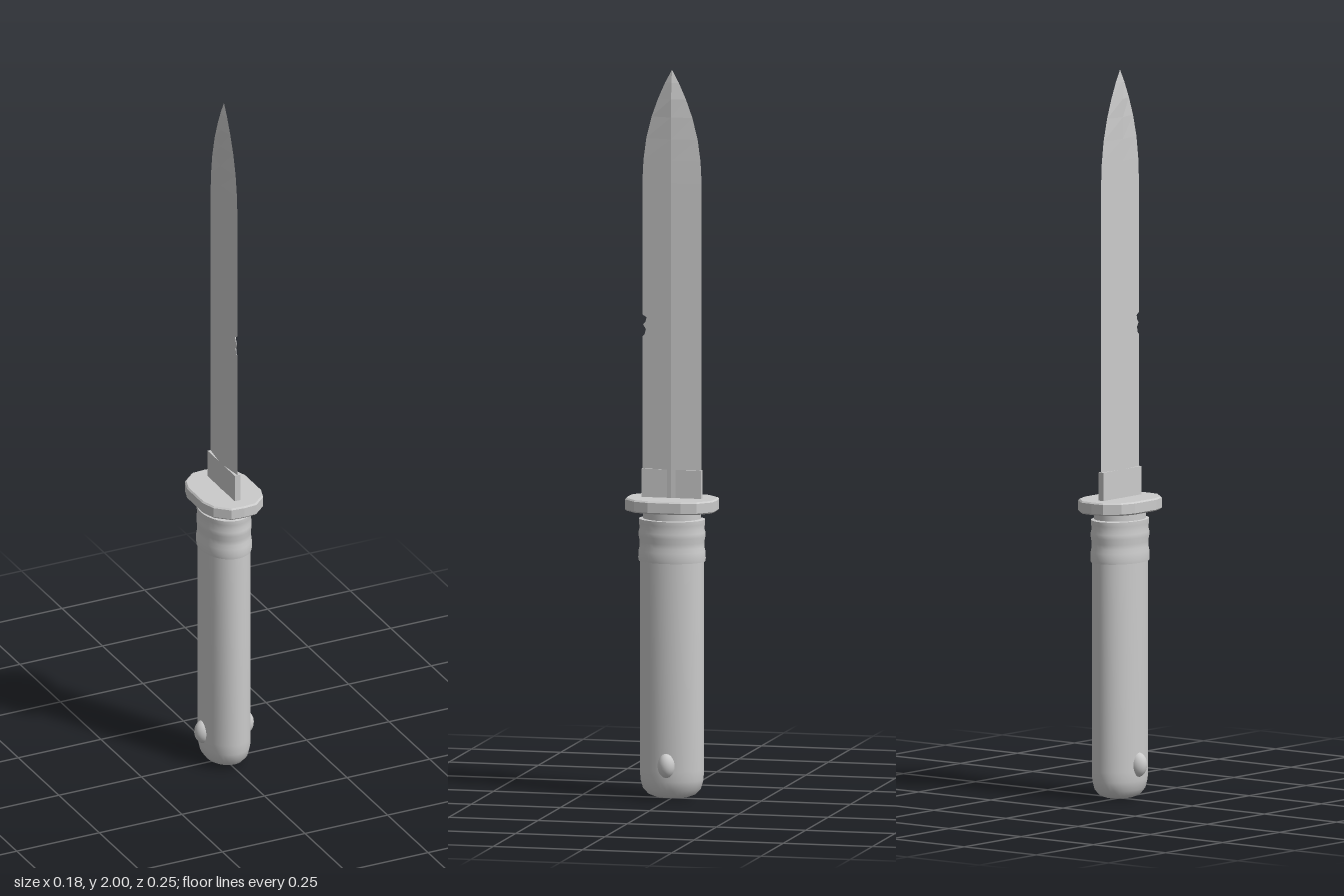
import * as THREE from 'three';
import { toCreasedNormals } from 'three/addons/utils/BufferGeometryUtils.js';

const steel = new THREE.MeshStandardMaterial({ color: 0xcccccc });

function add(group, name, geometry) {
  const mesh = new THREE.Mesh(geometry, steel);
  mesh.name = name;
  group.add(mesh);
  return mesh;
}

// Oval turned part: profile radii run along z, narrowed in x
function oval(profile, narrow = 0.77) {
  const points = profile.map(([r, y]) => new THREE.Vector2(r, y));
  const geometry = new THREE.LatheGeometry(points, 32).scale(narrow, 1, 1);
  return toCreasedNormals(geometry, 0.6);
}

// Diamond-section blade; stations are [y, front edge z, back edge z, ridge x]
function bladeGeometry(stations) {
  const rings = stations.map(([y, front, back, ridge]) => {
    const thick = back > 0 ? ridge * Math.max(0, 1 - front / back) : 0;
    return [
      [ridge, y, 0], [0, y, -back], [-ridge, y, 0],
      [-thick, y, front], [thick, y, front],
    ];
  });
  const positions = [];
  const tri = (a, b, c) => positions.push(...a, ...b, ...c);
  for (let i = 0; i < rings.length - 1; i++) {
    const lower = rings[i], upper = rings[i + 1];
    for (let j = 0; j < 5; j++) {
      const k = (j + 1) % 5;
      tri(lower[j], lower[k], upper[k]);
      tri(lower[j], upper[k], upper[j]);
    }
  }
  const geometry = new THREE.BufferGeometry();
  geometry.setAttribute('position', new THREE.Float32BufferAttribute(positions, 3));
  geometry.computeVertexNormals();
  return geometry;
}

export function createModel() {
  const knife = new THREE.Group();
  knife.name = 'knife';

  // Blade with two small nicks in the front edge
  const w = 0.083, t = 0.01;
  add(knife, 'blade', bladeGeometry([
    [0.81, w, w, t], [1.265, w, w, t],
    [1.27, 0.077, w, t], [1.285, 0.073, w, t], [1.298, 0.081, w, t],
    [1.305, 0.074, w, t], [1.318, 0.071, w, t], [1.325, w, w, t],
    [1.69, w, w, t], [1.75, 0.08, 0.08, t], [1.81, 0.072, 0.072, t],
    [1.87, 0.057, 0.057, t], [1.92, 0.039, 0.039, t],
    [1.965, 0.019, 0.019, 0.006], [2, 0, 0, 0],
  ]));

  // Rectangular sleeve around the blade root
  const sleeve = add(knife, 'bladeSleeve', new THREE.BoxGeometry(0.017, 0.085, 0.168));
  sleeve.position.y = 0.86;

  // Faceted oval guard with a slim bevel
  const quarter = [[0.085, 0.046], [0.072, 0.086], [0.036, 0.119]];
  const outline = [
    ...quarter, [0, 0.122],
    ...[...quarter].reverse().map(([x, z]) => [-x, z]),
    ...quarter.map(([x, z]) => [-x, -z]), [0, -0.122],
    ...[...quarter].reverse().map(([x, z]) => [x, -z]),
  ];
  const guardShape = new THREE.Shape(outline.map(([x, z]) => new THREE.Vector2(x, z)));
  const guard = new THREE.ExtrudeGeometry(guardShape, {
    depth: 0.027, bevelThickness: 0.004, bevelSize: 0.004, bevelSegments: 1,
  });
  guard.rotateX(-Math.PI / 2).translate(0, 0.794, 0);
  add(knife, 'guard', guard);

  // Neck between guard and ferrule
  add(knife, 'neck', oval([[0.08, 0.76], [0.08, 0.795]], 0.81));

  // Ferrule with a shallow waist
  add(knife, 'ferrule', oval([
    [0.084, 0.652], [0.092, 0.652], [0.093, 0.66], [0.092, 0.68],
    [0.089, 0.692], [0.089, 0.705], [0.092, 0.72], [0.092, 0.732],
    [0.089, 0.742], [0.091, 0.755], [0.091, 0.767], [0.076, 0.77],
  ]));

  // Grip with rounded butt
  add(knife, 'grip', oval([
    [0, 0], [0.045, 0.004], [0.066, 0.012], [0.08, 0.027], [0.087, 0.052],
    [0.088, 0.08], [0.088, 0.655], [0.08, 0.66],
  ]));

  // Domed release buttons on both sides
  for (const side of [1, -1]) {
    const button = add(knife, side > 0 ? 'leftButton' : 'rightButton',
      new THREE.SphereGeometry(1, 20, 14));
    button.scale.set(0.026, 0.034, 0.024);
    button.position.set(side * 0.062, 0.097, 0);
  }

  return knife;
}
